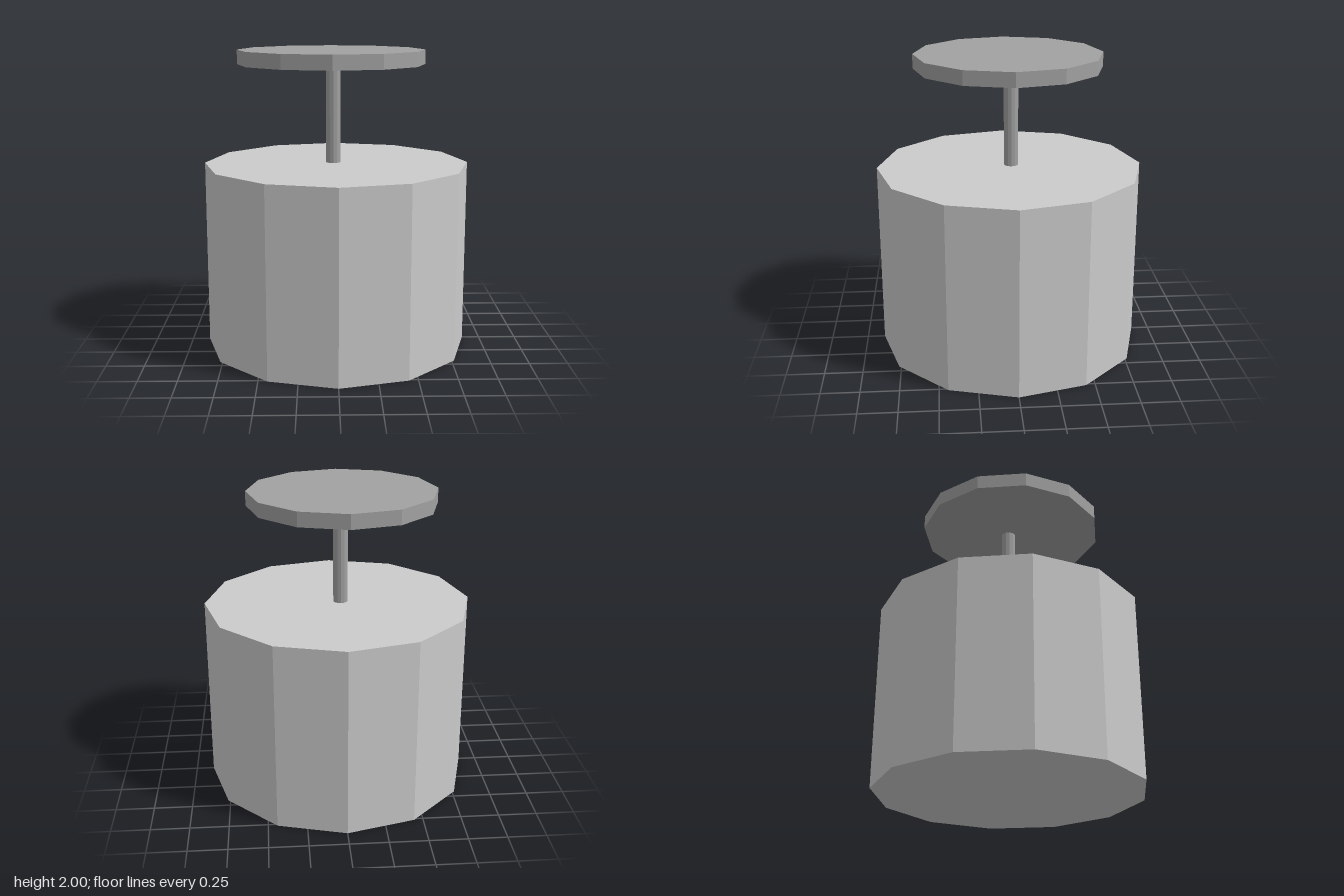
import * as THREE from 'three';

const SIDES = 12;

// Upright faceted drum between two heights
function drum(name, radius, bottom, top, x, z, color) {
  const mesh = new THREE.Mesh(
    new THREE.CylinderGeometry(radius, radius, top - bottom, SIDES),
    new THREE.MeshStandardMaterial({ color, flatShading: true })
  );
  mesh.name = name;
  mesh.position.set(x, (bottom + top) / 2, z);
  return mesh;
}

export function createModel() {
  const model = new THREE.Group();
  model.name = 'plunger';
  model.add(
    drum('base', 0.883, 0, 1.248, 0, 0, 0xcccccc),
    // The rod and plate sit slightly off centre
    drum('rod', 0.048, 1.248, 1.905, -0.02, -0.013, 0xa1a1a1),
    drum('topPlate', 0.621, 1.905, 2, -0.033, 0.003, 0xa1a1a1)
  );
  return model;
}
